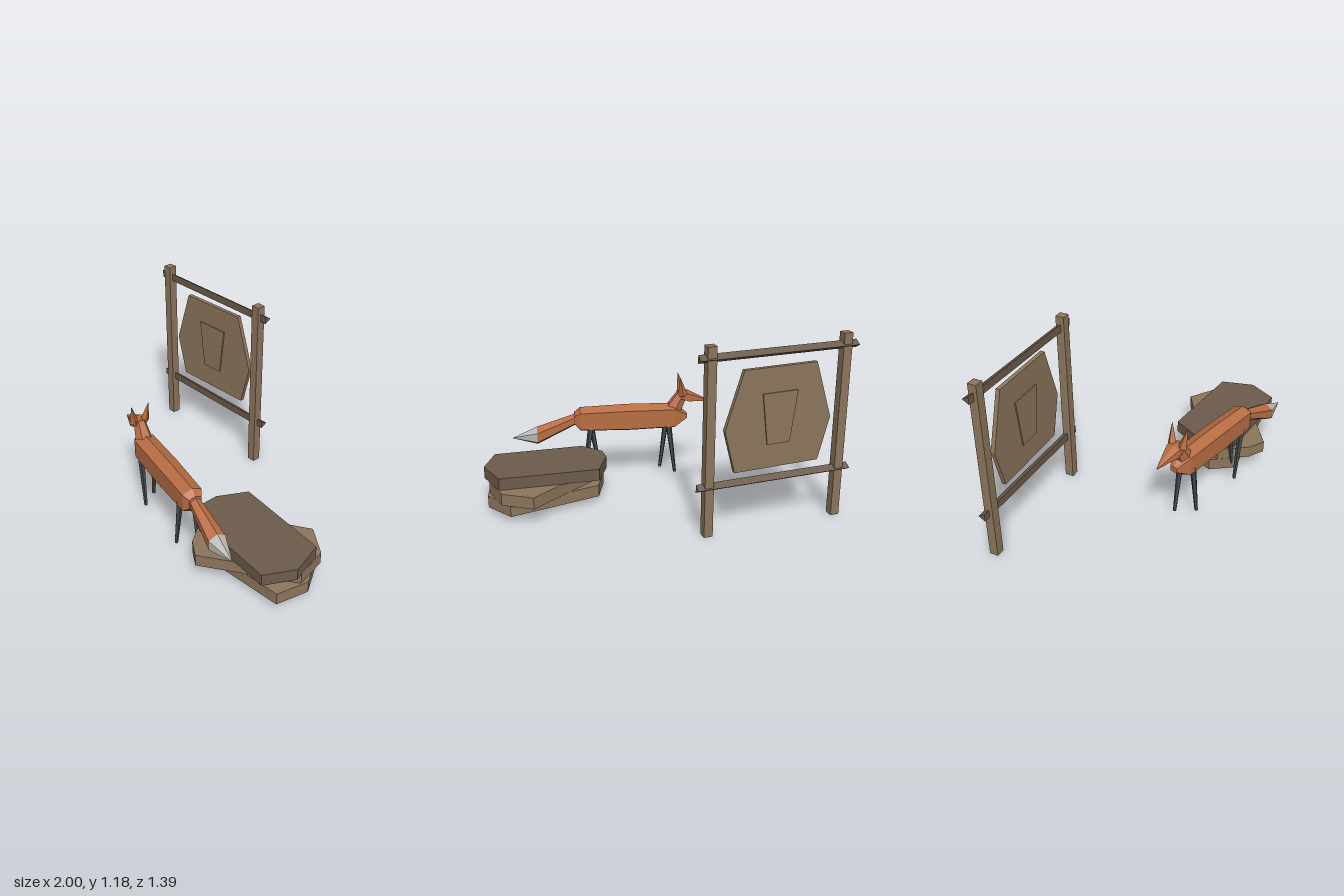
import * as THREE from 'three';

const mat = (name, color) => {
  const m = new THREE.MeshStandardMaterial({ color });
  m.name = name;
  return m;
};

// Split faces so every facet is shaded flat
function flat(geo) {
  const g = geo.index ? geo.toNonIndexed() : geo;
  g.computeVertexNormals();
  return g;
}

function add(parent, name, geo, material, x = 0, y = 0, z = 0) {
  const mesh = new THREE.Mesh(flat(geo), material);
  mesh.name = name;
  mesh.position.set(x, y, z);
  parent.add(mesh);
  return mesh;
}

// Skin cross-sections along x; ring = [x, centreY, halfHeight, halfWidth], section = [[y, z], ...]
function loft(rings, section) {
  const n = section.length, pos = [], idx = [];
  for (const [x, y, h, w] of rings)
    for (const [sy, sz] of section) pos.push(x, y + sy * h, sz * w);
  for (let i = 0; i < rings.length - 1; i++)
    for (let j = 0; j < n; j++) {
      const a = i * n + j, b = i * n + (j + 1) % n;
      idx.push(a, b, b + n, a, b + n, a + n);
    }
  const end = (rings.length - 1) * n;
  for (let j = 1; j < n - 1; j++) idx.push(0, j + 1, j, end, end + j, end + j + 1);
  const g = new THREE.BufferGeometry();
  g.setAttribute('position', new THREE.Float32BufferAttribute(pos, 3));
  g.setIndex(idx);
  return g;
}

const ngon = (n, turn = 0) => Array.from({ length: n }, (_, i) => {
  const a = turn + i / n * Math.PI * 2;
  return [Math.cos(a), Math.sin(a)];
});

// Tapered stick between two points
function stick(parent, name, a, b, rA, rB, sides, material) {
  const from = new THREE.Vector3(...a), dir = new THREE.Vector3(...b).sub(from);
  const mesh = add(parent, name, new THREE.CylinderGeometry(rB, rA, dir.length(), sides), material);
  mesh.position.copy(from).addScaledVector(dir, 0.5);
  mesh.quaternion.setFromUnitVectors(new THREE.Vector3(0, 1, 0), dir.normalize());
  return mesh;
}

// Flat plate from an outline, centred on its thickness
function plate(points, t) {
  const shape = new THREE.Shape(points.map(p => new THREE.Vector2(...p)));
  return new THREE.ExtrudeGeometry(shape, { depth: t, bevelEnabled: false }).translate(0, 0, -t / 2);
}

export function createModel() {
  const wood = mat('light wood and stone', 0x8c765c);
  const dark = mat('dark wood and stone', 0x6d5c4c);
  const fur = mat('orange fur', 0xb86d43);
  const tip = mat('pale fur', 0xb8b8b4);
  const sock = mat('charcoal legs', 0x45494e);

  const model = new THREE.Group();
  model.name = 'foxWithFrameAndRocks';

  // Stretching frame
  const frame = new THREE.Group();
  frame.name = 'frame';
  frame.position.set(-0.495, 0, -0.597);
  frame.rotation.y = -0.138;
  model.add(frame);
  for (const s of [-1, 1])
    add(frame, 'framePost', new THREE.BoxGeometry(0.056, 1.18, 0.056), wood, s * 0.432, 0.59, 0);
  for (const y of [0.315, 1.105]) {
    const bar = new THREE.CylinderGeometry(0.029, 0.029, 1.01, 3).rotateY(Math.PI).rotateZ(Math.PI / 2);
    add(frame, 'frameBar', bar, dark, 0, y, -0.009);
  }

  // Stretched panel with a raised centre patch on both sides
  const panel = new THREE.Group();
  panel.name = 'panelGroup';
  panel.position.z = -0.017;
  panel.rotation.y = 0.03;
  frame.add(panel);
  add(panel, 'panel', plate([[-0.35, 0.67], [-0.28, 0.4], [0.28, 0.4], [0.35, 0.67],
    [0.237, 1.025], [-0.237, 1.025]], 0.027), wood);
  add(panel, 'panelPatch', plate([[-0.075, 0.55], [0.075, 0.55], [0.115, 0.87], [-0.115, 0.87]], 0.042), wood);

  // Stacked rock slabs, outlines as x, z
  const slabs = [
    ['bottomRock', 0.042, 0.078, wood, [[0.92, 0.545], [1, 0.35], [0.92, 0.155], [0.32, 0.17],
      [0.21, 0.34], [0.29, 0.5]]],
    ['middleRock', 0.121, 0.077, wood, [[0.42, 0.658], [0.975, 0.39], [0.965, 0.18], [0.81, 0.035],
      [0.3, 0.26], [0.235, 0.39], [0.33, 0.58]]],
    ['topRock', 0.2, 0.077, dark, [[0.86, 0.615], [0.985, 0.45], [0.96, 0.23], [0.355, 0.075],
      [0.23, 0.24], [0.215, 0.34], [0.3, 0.48]]],
  ];
  for (const [name, y, h, m, pts] of slabs) {
    const g = plate(pts.map(([x, z]) => [x, -z]), h).rotateX(-Math.PI / 2);
    add(model, name, g, m, 0, y + h / 2, 0);
  }

  // Fox, nose towards local -x
  const fox = new THREE.Group();
  fox.name = 'fox';
  fox.position.set(-0.005, 0, 0.415);
  fox.rotation.y = -0.36;
  model.add(fox);

  const trunk = [[1, 0], [0.68, 1], [-0.68, 1], [-1, 0], [-0.68, -1], [0.68, -1]];
  add(fox, 'body', loft([[-0.405, 0.45, 0.02, 0.025], [-0.32, 0.452, 0.088, 0.065],
    [0, 0.452, 0.094, 0.067], [0.312, 0.453, 0.084, 0.062], [0.35, 0.46, 0.045, 0.04]], trunk), fur);
  stick(fox, 'neck', [-0.31, 0.49, 0], [-0.375, 0.605, 0], 0.058, 0.038, 6, fur);
  add(fox, 'head', loft([[-0.562, 0.545, 0.003, 0.003], [-0.415, 0.588, 0.039, 0.046],
    [-0.35, 0.597, 0.026, 0.036]], trunk), fur);

  // Ears and legs, mirrored; the legs stride in opposite directions
  for (const s of [-1, 1]) {
    stick(fox, 'ear', [-0.375, 0.605, s * 0.036], [-0.352, 0.735, s * 0.057], 0.032, 0.001, 4, fur);
    stick(fox, 'frontLeg', [-0.275, 0.42, s * 0.046], [-0.275 + s * 0.045, 0.058, s * 0.05],
      0.021, 0.011, 5, sock);
    stick(fox, 'hindLeg', [0.242, 0.42, s * 0.044], [0.242 - s * 0.055, 0.058, s * 0.048],
      0.021, 0.011, 5, sock);
  }

  // Tail with a pale tip
  const brush = ngon(6);
  const tailEnd = [0.6, 0.35, 0.062, 0.062];
  add(fox, 'tail', loft([[0.325, 0.462, 0.038, 0.036], tailEnd], brush), fur);
  add(fox, 'tailTip', loft([tailEnd, [0.765, 0.338, 0.001, 0.001]], brush), tip);

  return model;
}
